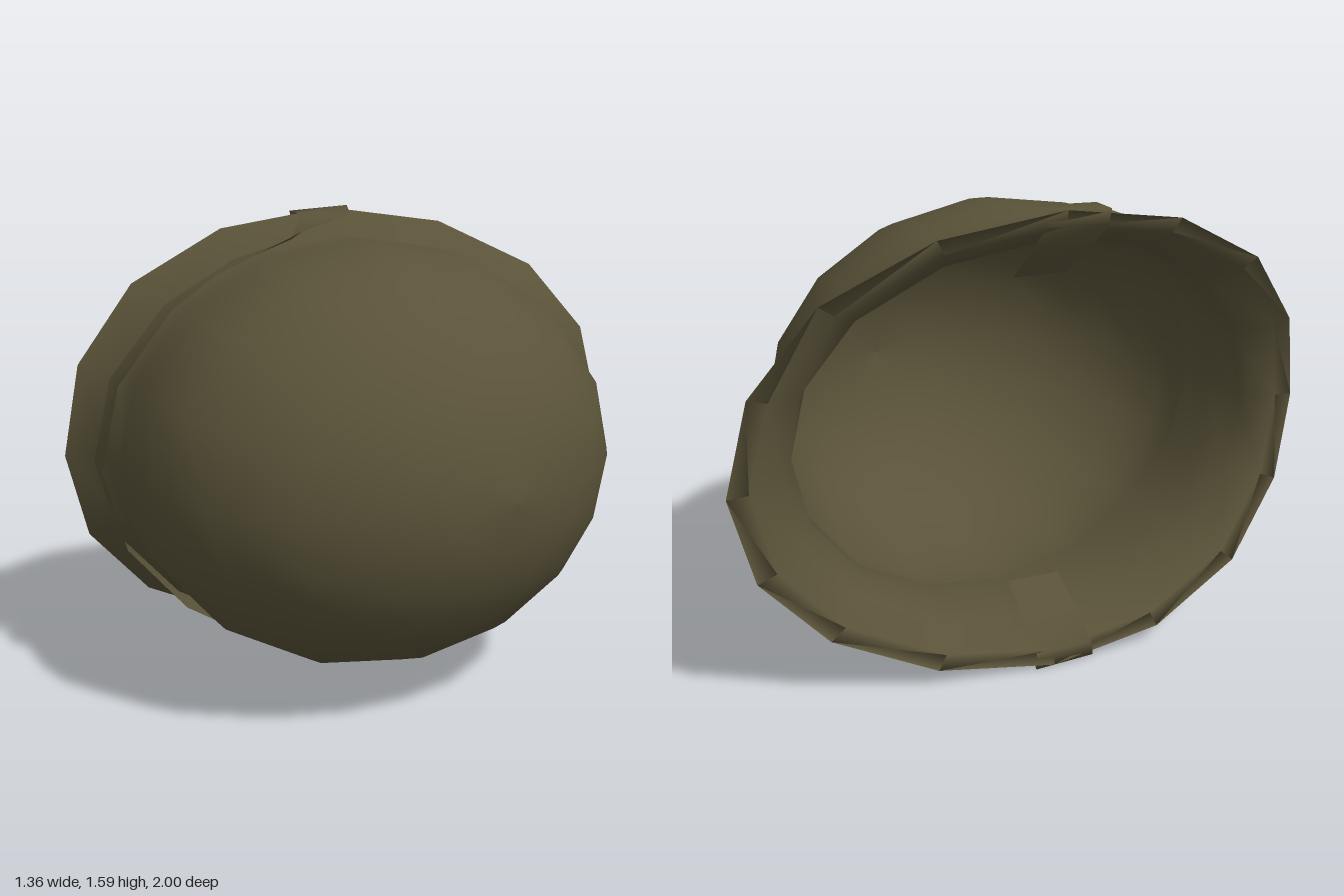
import * as THREE from 'three';

const SIDES = 16, MID = 0.8;
// sideways sweep of the brim, from the front tip (index 0) round to the back tip (index 8)
const SWEEP = [0, -0.04, -0.105, -0.135, -0.12, -0.07, -0.01, 0, 0];

// Point on a tilted oval whose front is f = [x, z], back is b = [x, z] and half height is h
function ovalPoint([f, b, h, sweep = 0], angle, step = 0) {
  const c = Math.cos(angle);
  const i = Math.min(step, SIDES - step);
  return [
    (f[0] + b[0]) / 2 + ((f[0] - b[0]) / 2) * c + sweep * SWEEP[i],
    MID + h * Math.sin(angle),
    (f[1] + b[1]) / 2 + ((f[1] - b[1]) / 2) * c,
  ];
}

function ovalRing(station) {
  return Array.from({ length: SIDES }, (_, i) => ovalPoint(station, (i / SIDES) * Math.PI * 2, i));
}

// Joins rows of points into a smooth skin; closed rows wrap round
function skin(rows, closed) {
  const n = rows[0].length, index = [];
  for (let r = 0; r < rows.length - 1; r++) {
    for (let i = 0; i < (closed ? n : n - 1); i++) {
      const j = (i + 1) % n;
      const a = r * n + i, b = (r + 1) * n + i, c = r * n + j, d = (r + 1) * n + j;
      index.push(a, b, c, c, b, d);
    }
  }
  const g = new THREE.BufferGeometry();
  g.setAttribute('position', new THREE.Float32BufferAttribute(rows.flat(2), 3));
  g.setIndex(index);
  g.computeVertexNormals();
  return g;
}

// Shrinks a station towards the middle of the bowl
function inset([f, b, h, sweep], k) {
  const move = ([x, z]) => [-0.1 + (x + 0.1) * k, 0.1 + (z - 0.1) * k];
  return [move(f), move(b), h * k, sweep];
}

export function createModel() {
  const group = new THREE.Group();
  const olive = new THREE.MeshStandardMaterial({ color: 0x5a5339, side: THREE.DoubleSide });
  olive.name = 'olive';
  const add = (name, geometry) => {
    const mesh = new THREE.Mesh(geometry, olive);
    mesh.name = name;
    group.add(mesh);
  };

  // Stations from the flared brim to the crown: front, back, half height, sweep
  const brim = [[-0.65, 1], [-0.12, -1], 0.787, 1];
  const lip = [[-0.625, 0.945], [-0.135, -0.93], 0.735, 0.95];
  const bowl = [
    [[-0.57, 0.88], [-0.09, -0.83], 0.7, 0.5],
    [[-0.38, 0.93], [0.01, -0.73], 0.712, 0.15],
    [[-0.25, 0.96], [0.1, -0.685], 0.716],
    [[-0.1, 0.98], [0.2, -0.64], 0.708],
    [[0.04, 0.97], [0.31, -0.58], 0.678],
    [[0.18, 0.92], [0.41, -0.52], 0.627],
    [[0.31, 0.85], [0.47, -0.46], 0.565],
    [[0.42, 0.76], [0.53, -0.39], 0.49],
    [[0.52, 0.63], [0.6, -0.28], 0.39],
    [[0.6, 0.5], [0.64, -0.17], 0.285],
    [[0.66, 0.34], [0.672, -0.04], 0.16],
    [[0.683, 0.14], [0.683, 0.14], 0],
  ];
  // Inside: a thicker band behind the lip, then a step out to the hollow of the bowl
  const inside = [
    lip,
    ...bowl.slice(0, 3).map((s) => inset(s, 0.95)),
    ...bowl.slice(2).map((s) => inset(s, 0.975)),
  ];
  add('helmetShell', skin([...inside.reverse(), brim, ...bowl].map(ovalRing), true));

  // Strap: runs round the front of the bowl, folds over the brim and hangs inside at each end
  const lower = [[-0.53, 0.95], [-0.1, -0.8], 0.72];
  const upper = [[-0.39, 0.985], [0, -0.73], 0.73];
  const half = [[0, 0], [22.5, 22.5], [45, 45], [64, 58], [78, 68]].map(([l, u]) => [
    ovalPoint(lower, THREE.MathUtils.degToRad(l)),
    ovalPoint(upper, THREE.MathUtils.degToRad(u)),
  ]);
  half.push(
    [[-0.42, 1.55, 0.19], [-0.3, 1.535, 0.25]],
    [[-0.46, 1.58, 0.165], [-0.36, 1.575, 0.01]],
    [[-0.55, 1.58, 0.14], [-0.48, 1.594, -0.06]],
    [[-0.545, 1.53, 0.135], [-0.475, 1.54, -0.055]],
    [[-0.47, 1.44, 0.14], [-0.4, 1.45, -0.045]],
    [[-0.36, 1.34, 0.145], [-0.3, 1.34, -0.03]],
  );
  const mirrored = half.slice(1).map((row) => row.map(([x, y, z]) => [x, 2 * MID - y, z])).reverse();
  add('strap', skin([...mirrored, ...half].map((row) => row.reverse()), false));

  return group;
}
